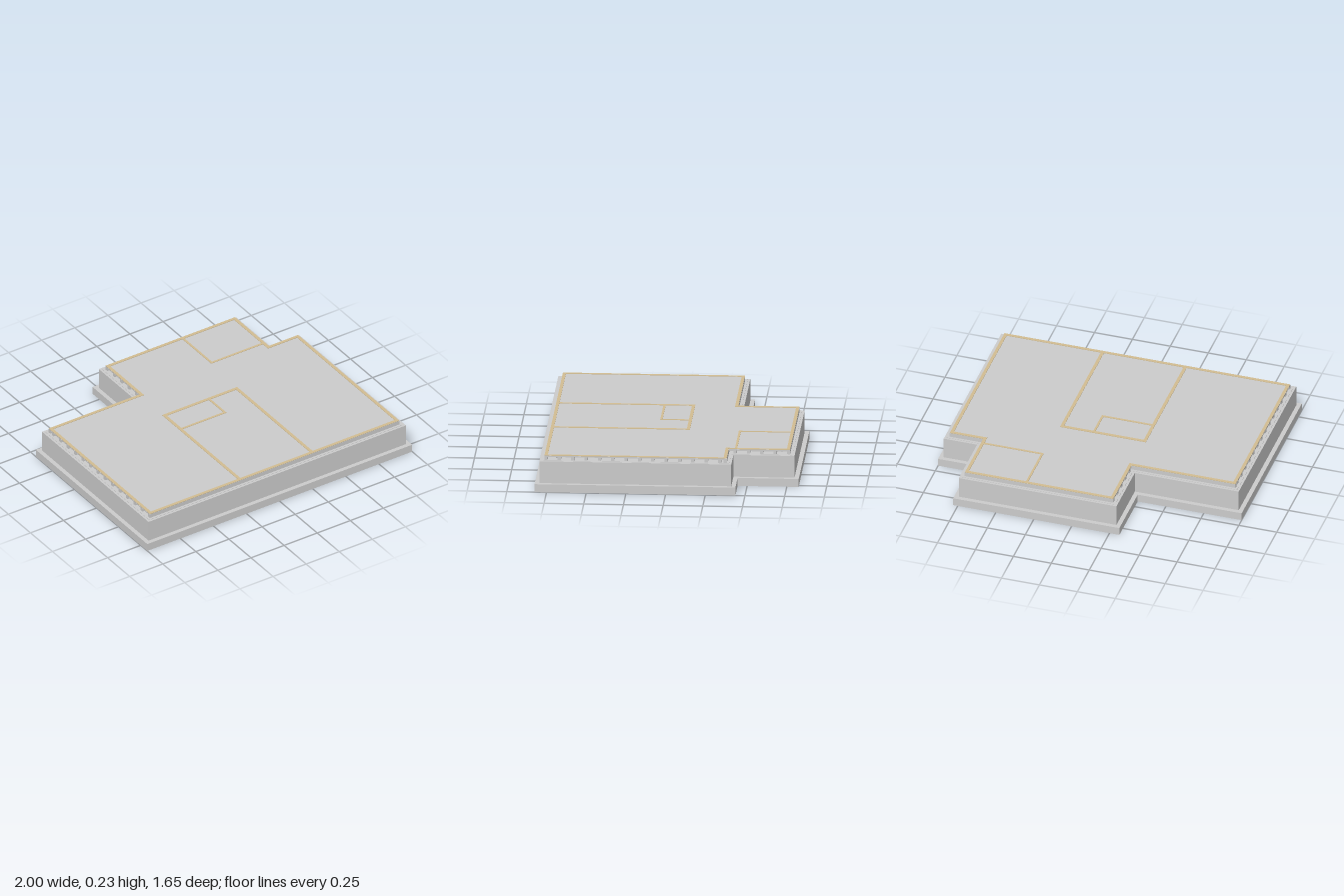
import * as THREE from 'three';

const grey = new THREE.MeshStandardMaterial({ color: 0xcccccc, flatShading: true });
const tan = new THREE.MeshStandardMaterial({ color: 0xd2bd92, flatShading: true });

// Stepped building outline in (x, z), moved inwards by d
const outline = (d) => [
  [-1 + d, 0.825 - d], [1 - d, 0.825 - d], [1 - d, -0.44 + d], [0.78 - d, -0.44 + d],
  [0.78 - d, -0.825 + d], [-0.315 + d, -0.825 + d], [-0.315 + d, -0.44 + d], [-1 + d, -0.44 + d],
];

const rect = (x0, x1, z0, z1) => [[x0, z1], [x1, z1], [x1, z0], [x0, z0]];

// Four underfloor bays, each widened by g
const bays = (g) => [
  [[0.39 - g, 0.67 + g], [0.86 + g, 0.67 + g], [0.86 + g, -0.3 - g], [0.64 + g, -0.3 - g],
    [0.64 + g, -0.69 - g], [0.39 - g, -0.69 - g]],
  rect(-0.17 - g, 0.28 + g, -0.055 - g, 0.67 + g),
  rect(-0.86 - g, -0.3 + g, -0.3 - g, 0.67 + g),
  rect(-0.18 - g, 0.275 + g, -0.69 - g, -0.185 + g),
];

const toPoints = (pts) => pts.map(([x, z]) => new THREE.Vector2(x, -z));

// Horizontal slab with openings between heights y0 and y1
function slab(name, pts, holes, y0, y1, material = grey) {
  const shape = new THREE.Shape(toPoints(pts));
  shape.holes = holes.map((h) => new THREE.Path(toPoints(h)));
  const geo = new THREE.ExtrudeGeometry(shape, { depth: y1 - y0, bevelEnabled: false });
  geo.rotateX(-Math.PI / 2).translate(0, y0, 0);
  const mesh = new THREE.Mesh(geo, material);
  mesh.name = name;
  return mesh;
}

function bar(name, x0, x1, z0, z1, y0, y1, material = grey) {
  const mesh = new THREE.Mesh(new THREE.BoxGeometry(x1 - x0, y1 - y0, z1 - z0), material);
  mesh.position.set((x0 + x1) / 2, (y0 + y1) / 2, (z0 + z1) / 2);
  mesh.name = name;
  return mesh;
}

export function createModel() {
  const model = new THREE.Group();
  model.name = 'houseFoundation';

  // Footing, foundation walls and sill, each stepping in
  model.add(slab('footing', outline(0), bays(0), 0, 0.052));
  model.add(slab('foundationWall', outline(0.028), bays(0.028), 0.052, 0.194));
  model.add(slab('sillPlate', outline(0.043), bays(0.028), 0.194, 0.196));

  // Floor joists running side to side, ends left open
  const joists = new THREE.Group();
  joists.name = 'floorJoists';
  const half = 0.01;
  const addJoist = (z, wide) => joists.add(bar('joist', wide ? -0.942 : -0.257,
    wide ? 0.942 : 0.722, z - half, z + half, 0.196, 0.215));
  for (let i = 0; i <= 18; i++) {
    const z = -0.757 + (i * 1.514) / 18;
    addJoist(z, z > -0.38);
  }
  addJoist(-0.372, true);
  model.add(joists);

  // Floor deck
  model.add(slab('floorDeck', outline(0.058), [], 0.215, 0.223));

  // Sole plates marking outer walls and partitions
  const plates = new THREE.Group();
  plates.name = 'solePlates';
  plates.add(slab('outerPlate', outline(0.059), [outline(0.079)], 0.223, 0.226, tan));
  const partitions = [
    [-0.265, -0.245, -0.09, 0.746],
    [0.28, 0.3, -0.09, 0.746],
    [-0.265, 0.3, -0.11, -0.09],
    [-0.245, 0.087, 0.076, 0.09],
    [0.073, 0.087, -0.09, 0.076],
    [0.311, 0.325, -0.746, -0.419],
    [0.311, 0.701, -0.433, -0.419],
  ];
  for (const [x0, x1, z0, z1] of partitions) {
    plates.add(bar('partitionPlate', x0, x1, z0, z1, 0.223, 0.226, tan));
  }
  model.add(plates);

  return model;
}
